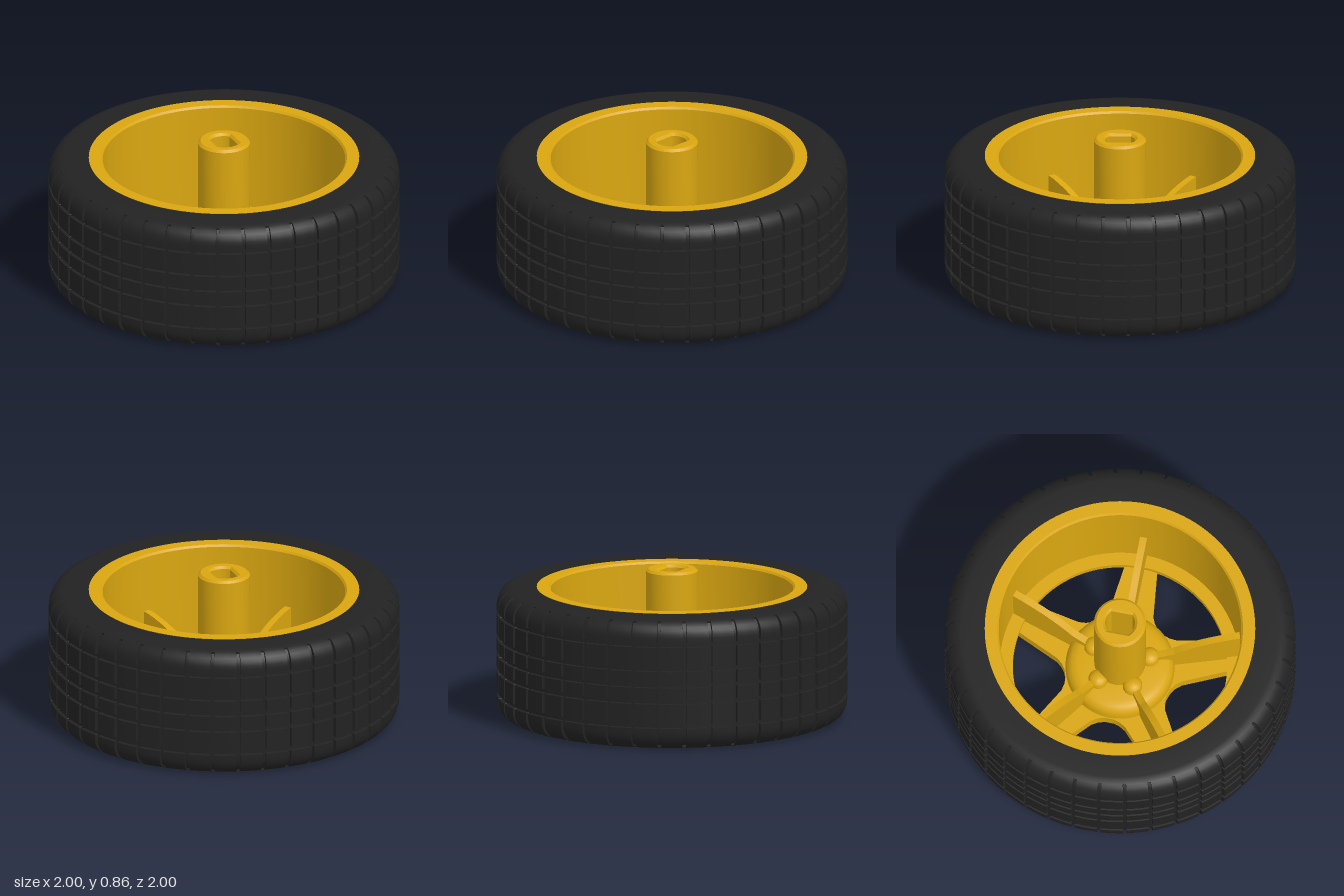
import * as THREE from 'three';
import { toCreasedNormals } from 'three/addons/utils/BufferGeometryUtils.js';

const SPOKES = 5, LUGS = 42, DEPTH = 0.02;

export function createModel() {
  const group = new THREE.Group();
  const rubber = new THREE.MeshStandardMaterial({ color: 0x222222 });
  rubber.name = 'blackRubber';
  const plastic = new THREE.MeshStandardMaterial({ color: 0xd9a610 });
  plastic.name = 'yellowPlastic';

  const add = (name, geometry, material, parent = group) => {
    const mesh = new THREE.Mesh(toCreasedNormals(geometry, 0.55), material);
    mesh.name = name;
    parent.add(mesh);
    return mesh;
  };
  const vec = (list) => list.map(([r, y]) => new THREE.Vector2(r, y));
  const lathe = (list, segments = 96) => new THREE.LatheGeometry(vec(list), segments);
  // Extrudes a plan shape upward from height y0 to y1
  const slab = (shape, y0, y1, bevel = 0) => {
    const g = new THREE.ExtrudeGeometry(shape, {
      depth: y1 - y0 - 2 * bevel, curveSegments: 32, bevelEnabled: bevel > 0,
      bevelSize: bevel, bevelThickness: bevel, bevelOffset: -bevel, bevelSegments: 1,
    });
    return g.rotateX(-Math.PI / 2).translate(0, y0 + bevel, 0);
  };

  add('tyre', tyreGeometry(lathe), rubber);

  // Rim barrel with an inner ledge and a flared underside
  add('rim', lathe([
    [0.72, 0], [0.742, 0], [0.742, 0.02], [0.752, 0.02], [0.752, 0], [0.77, 0],
    [0.77, 0.752], [0.7, 0.752], [0.69, 0.74], [0.685, 0.13], [0.61, 0.13],
    [0.61, 0.09], [0.685, 0.085], [0.70, 0.05], [0.72, 0],
  ], 128), plastic);

  // Star-shaped spoke plate with a round centre opening and pin holes
  const outline = [];
  const local = [[0.27, -0.165], [0.3, -0.142], [0.34, -0.125], [0.645, -0.09], [0.66, -0.075],
    [0.66, 0.075], [0.645, 0.09], [0.34, 0.125], [0.3, 0.142], [0.27, 0.165], [0.255, 0.185]];
  const star = new THREE.Shape();
  for (let k = 0; k < SPOKES; k++) {
    const a = (k / SPOKES) * Math.PI * 2, c = Math.cos(a), s = Math.sin(a);
    for (const [u, v] of local) outline.push(new THREE.Vector2(u * c - v * s, u * s + v * c));
    star.holes.push(new THREE.Path().absarc(0.43 * c, 0.43 * s, 0.014, 0, Math.PI * 2, true));
  }
  star.setFromPoints(outline);
  star.holes.push(new THREE.Path().absarc(0, 0, 0.27, 0, Math.PI * 2, true));
  add('spokePlate', slab(star, 0.03, 0.1), plastic);

  // Hollow dome around the hub
  add('hubDome', lathe([
    [0.27, 0.03], [0.31, 0.05], [0.31, 0.14], [0.3, 0.175], [0.275, 0.2], [0.24, 0.21], [0.1, 0.21],
    [0.1, 0.17], [0.22, 0.17], [0.25, 0.155], [0.265, 0.13], [0.27, 0.1], [0.27, 0.03],
  ]), plastic);

  // Hub post: solid foot, then a tube with a double-flat shaft socket
  add('hubFoot', new THREE.CylinderGeometry(0.147, 0.147, 0.4, 64).translate(0, 0.3, 0), plastic);
  const tube = new THREE.Shape().absarc(0, 0, 0.148, 0, Math.PI * 2, false);
  const flat = Math.acos(0.06 / 0.085);
  tube.holes.push(new THREE.Path()
    .absarc(0, 0, 0.085, flat, Math.PI - flat, false)
    .absarc(0, 0, 0.085, Math.PI + flat, Math.PI * 2 - flat, false));
  add('hubTube', slab(tube, 0.47, 0.857, 0.014), plastic);

  // Upright stiffening fin, sloping down from rim to hub
  const finShape = new THREE.Shape();
  finShape.moveTo(0.13, 0.06);
  finShape.lineTo(0.687, 0.06);
  finShape.lineTo(0.687, 0.415);
  finShape.lineTo(0.64, 0.41);
  finShape.quadraticCurveTo(0.42, 0.37, 0.3, 0.27);
  finShape.lineTo(0.13, 0.23);
  const finGeometry = new THREE.ExtrudeGeometry(finShape, { depth: 0.04, bevelEnabled: false });
  finGeometry.translate(0, 0, -0.02);

  // Rounded lobe at the hub base
  const lobeGeometry = lathe([
    [0, 0.12], [0.055, 0.12], [0.055, 0.235], [0.048, 0.255], [0.03, 0.27], [0, 0.275],
  ], 24).translate(0.17, 0, 0);

  for (let k = 0; k < SPOKES; k++) {
    const spoke = new THREE.Group();
    spoke.name = 'spokeSupport' + (k + 1);
    spoke.rotation.y = (k / SPOKES) * Math.PI * 2;
    add('fin', finGeometry, plastic, spoke);
    add('hubLobe', lobeGeometry, plastic, spoke);
    group.add(spoke);
  }
  return group;
}

// Tyre: a lathe whose columns are regrouped into lugs and pressed in for cross grooves
function tyreGeometry(lathe) {
  const profile = [[0.765, 0]];
  const shoulder = (cy, from) => {
    for (let i = 0; i <= 7; i++) {
      const a = from + (i / 7) * Math.PI / 2;
      profile.push([0.9 + 0.098 * Math.cos(a), cy + 0.1 * Math.sin(a)]);
    }
  };
  shoulder(0.1, -Math.PI / 2);
  for (const y of [0.14, 0.28, 0.375, 0.47, 0.61]) {
    profile.push([0.998, y - 0.012], [0.998 - DEPTH, y - 0.01], [0.998 - DEPTH, y + 0.01], [0.998, y + 0.012]);
  }
  shoulder(0.65, 0);
  profile.push([0.765, 0.75], [0.765, 0]);

  const steps = [-0.075, -0.065, 0.065, 0.075, 0.36, 0.64];
  const n = steps.length, geometry = lathe(profile, LUGS * n), pos = geometry.attributes.position;
  for (let i = 0; i <= LUGS * n; i++) {
    const angle = (Math.floor(i / n) + steps[i % n]) / LUGS * Math.PI * 2;
    const pressed = i % n === 1 || i % n === 2;
    profile.forEach(([r, y], j) => {
      let radius = r;
      if (pressed && r > 0.9 && y > 0.015 && y < 0.735) {
        radius = y > 0.1 && y < 0.65 ? Math.min(r, 0.998 - DEPTH) : r - DEPTH;
      }
      pos.setXYZ(i * profile.length + j, radius * Math.sin(angle), y, radius * Math.cos(angle));
    });
  }
  return geometry;
}
